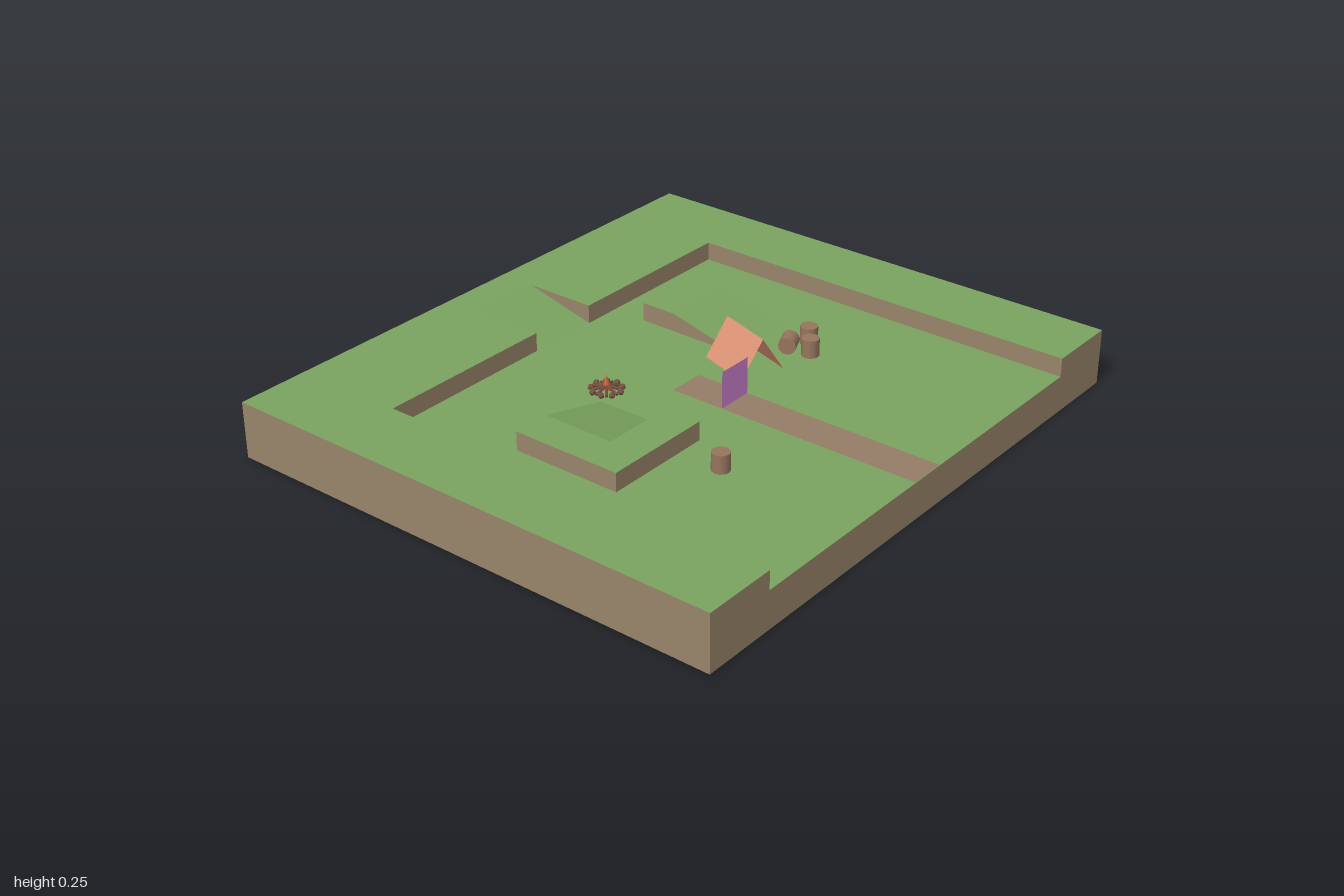
import * as THREE from 'three';

const H = 0.1875, L = 0.125; // plateau and floor heights

const mat = (name, color, side = THREE.DoubleSide) => {
  const m = new THREE.MeshStandardMaterial({ color, side });
  m.name = name;
  return m;
};

export function createModel() {
  const grass = mat('grass green', 0x7aa35f);
  const earth = mat('earth brown', 0x99856a);
  const dirt = mat('path dirt', 0x967d66);
  const canvas = mat('tent orange', 0xdb9274);
  const pink = mat('marker pink', 0xcc82cc);
  const wood = mat('barrel wood', 0x96755d, THREE.FrontSide);
  const logWood = mat('log brown', 0x74513f, THREE.FrontSide);
  const fire = mat('flame orange', 0xd9683c, THREE.FrontSide);

  const model = new THREE.Group();
  model.name = 'campsite';
  const add = (name, geo, material, parent = model) => {
    const mesh = new THREE.Mesh(geo, material);
    mesh.name = name;
    parent.add(mesh);
    return mesh;
  };

  // horizontal polygon from [x, z] points
  const flat = (pts, y, holes = []) => {
    const v = (list) => list.map(([x, z]) => new THREE.Vector2(x, -z));
    const shape = new THREE.Shape(v(pts));
    holes.forEach((h) => shape.holes.push(new THREE.Path(v(h))));
    return new THREE.ShapeGeometry(shape).rotateX(-Math.PI / 2).translate(0, y, 0);
  };
  const rect = (x0, x1, z0, z1) => [[x0, z1], [x1, z1], [x1, z0], [x0, z0]];

  // four-cornered faces, corners counter-clockwise
  const quads = (list) => {
    const pos = [];
    for (const [a, b, c, d] of list) pos.push(...a, ...b, ...c, ...a, ...c, ...d);
    const g = new THREE.BufferGeometry();
    g.setAttribute('position', new THREE.Float32BufferAttribute(pos, 3));
    g.computeVertexNormals();
    return g;
  };

  // upright strip along [x, z, bottom, top] points
  const wall = (name, pts) => {
    const faces = [];
    for (let i = 0; i < pts.length - 1; i++) {
      const [ax, az, ab, at] = pts[i], [bx, bz, bb, bt] = pts[i + 1];
      if (ax === bx && az === bz) continue;
      faces.push([[ax, ab, az], [bx, bb, bz], [bx, bt, bz], [ax, at, az]]);
    }
    add(name, quads(faces), earth);
  };

  // grass levels
  add('plateau', flat([
    [-1, 0.875], [-0.75, 0.875], [-0.75, -0.5], [-0.125, -0.5], [-0.125, -0.75],
    [0.125, -0.75], [0.125, -0.5], [0.75, -0.5], [0.75, 0.875], [1, 0.875],
    [1, -0.875], [-1, -0.875]], H), grass);
  add('floor', flat(rect(-0.75, 0.75, -0.5, 0.875), L,
    [rect(0.25, 0.5, -0.375, 0), rect(-0.625, -0.25, -0.125, 0.25)]), grass);
  add('rightMoundTop', flat(rect(0.25, 0.5, -0.375, -0.25), H), grass);
  add('leftMoundTop', flat([[-0.625, -0.125], [-0.625, 0.25], [-0.25, 0.25],
    [-0.25, 0.125], [-0.5, 0.125], [-0.5, -0.125]], H), grass);

  // ramps
  const rampZ = (x0, x1, z0, z1) => [[x0, L, z1], [x1, L, z1], [x1, H, z0], [x0, H, z0]];
  add('backRamp', quads([rampZ(-0.125, 0.125, -0.75, -0.5)]), grass);
  add('rightRamp', quads([rampZ(0.25, 0.5, -0.25, 0)]), grass);
  add('leftRamp', quads([[[-0.5, H, 0.125], [-0.25, L, 0.125],
    [-0.25, L, -0.125], [-0.5, H, -0.125]]]), grass);

  // earth sides
  wall('outerWall', [
    [-1, 0.875, 0, H], [-0.75, 0.875, 0, H], [-0.75, 0.875, 0, L], [0.75, 0.875, 0, L],
    [0.75, 0.875, 0, H], [1, 0.875, 0, H], [1, -0.875, 0, H], [-1, -0.875, 0, H], [-1, 0.875, 0, H]]);
  wall('innerWallLeft', [[-0.75, 0.875, L, H], [-0.75, -0.5, L, H], [-0.125, -0.5, L, H], [-0.125, -0.75, H, H]]);
  wall('innerWallRight', [[0.125, -0.75, H, H], [0.125, -0.5, L, H], [0.75, -0.5, L, H], [0.75, 0.875, L, H]]);
  wall('rightMoundWall', [[0.5, 0, L, L], [0.5, -0.25, L, H], [0.5, -0.375, L, H],
    [0.25, -0.375, L, H], [0.25, -0.25, L, H], [0.25, 0, L, L]]);
  wall('leftMoundWall', [[-0.25, -0.125, L, L], [-0.5, -0.125, L, H], [-0.625, -0.125, L, H],
    [-0.625, 0.25, L, H], [-0.25, 0.25, L, H], [-0.25, 0.125, L, H], [-0.5, 0.125, H, H]]);

  // path and upright marker panel
  add('path', flat(rect(-0.0625, 0.0625, 0, 0.875), L + 0.002), dirt);
  add('markerPanel', new THREE.PlaneGeometry(0.125, 0.125).translate(0, L + 0.0625, 0.1875), pink);

  // open-ended tent
  const w = 0.079, d = 0.097, h = 0.122;
  const tent = add('tent', quads([
    [[w, 0, d], [w, 0, -d], [0, h, -d], [0, h, d]],
    [[-w, 0, -d], [-w, 0, d], [0, h, d], [0, h, -d]]]), canvas);
  tent.position.set(0.219, L, 0.0585);
  tent.rotation.y = -0.32;

  // barrels, three standing and one lying
  const barrelGeo = new THREE.CylinderGeometry(0.029, 0.029, 0.06, 12);
  [[0.455, 0.135], [0.39, 0.187], [-0.345, 0.402]].forEach(([x, z]) =>
    add('barrel', barrelGeo, wood).position.set(x, L + 0.03, z));
  const lying = add('lyingBarrel', barrelGeo, wood);
  lying.position.set(0.373, L + 0.028, 0.116);
  lying.rotation.set(0, 0.42, Math.PI / 2);

  // campfire: radial logs with stones at their ends and a small flame
  const campfire = new THREE.Group();
  campfire.name = 'campfire';
  campfire.position.set(-0.188, L, -0.158);
  model.add(campfire);
  const logGeo = new THREE.CylinderGeometry(0.005, 0.005, 0.05, 6)
    .rotateZ(Math.PI / 2 - 0.3).translate(0.025, 0.013, 0);
  const stoneGeo = new THREE.IcosahedronGeometry(0.011, 0);
  for (let i = 0; i < 9; i++) {
    const spoke = new THREE.Group();
    spoke.name = 'spoke';
    spoke.rotation.y = (i / 9) * Math.PI * 2;
    campfire.add(spoke);
    add('log', logGeo, logWood, spoke).rotation.y = Math.PI;
    add('stone', stoneGeo, logWood, spoke).position.set(0.049, 0.008, 0);
  }
  add('flame', new THREE.ConeGeometry(0.016, 0.05, 6).translate(0, 0.03, 0), fire, campfire);

  return model;
}
